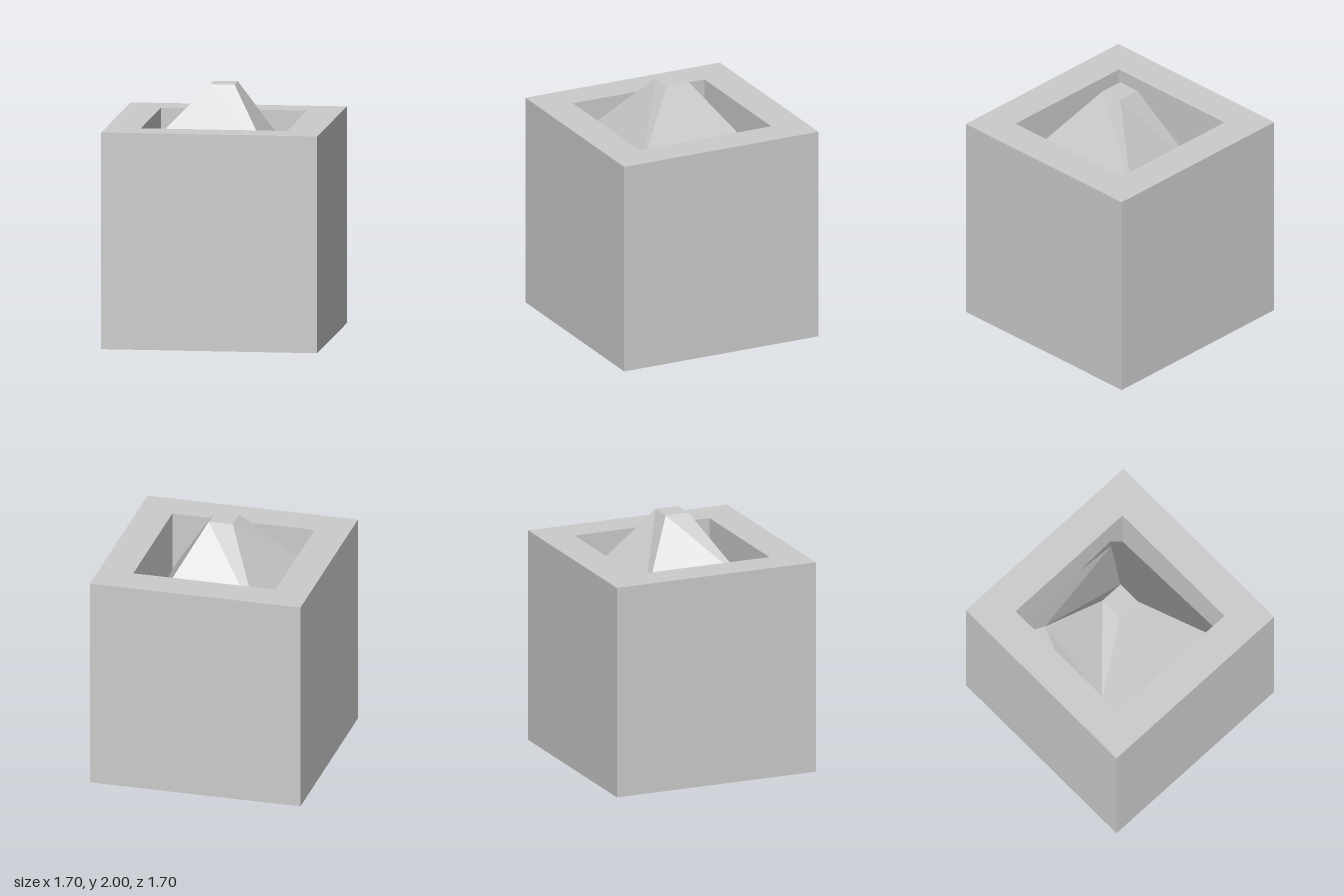
import * as THREE from 'three';

const grey = new THREE.MeshStandardMaterial({ color: 0xcccccc, flatShading: true });
grey.name = 'light grey';

// Flat-sided solid lofted downwards through four-cornered rings
// (corner order: back right-hand, front right-hand, front left-hand, back left-hand)
function loft(rings) {
  const points = [];
  const add = (...corners) => corners.forEach((p) => points.push(...p));
  const cap = rings[0];
  add(cap[0], cap[1], cap[2], cap[0], cap[2], cap[3]);
  for (let r = 0; r < rings.length - 1; r++) {
    for (let i = 0; i < 4; i++) {
      const j = (i + 1) % 4;
      const a = rings[r][i], b = rings[r][j];
      const c = rings[r + 1][j], d = rings[r + 1][i];
      add(a, d, c, a, c, b);
    }
  }
  const geometry = new THREE.BufferGeometry();
  geometry.setAttribute('position', new THREE.Float32BufferAttribute(points, 3));
  geometry.computeVertexNormals();
  return geometry;
}

function square(path, half) {
  path.moveTo(-half, -half);
  path.lineTo(half, -half);
  path.lineTo(half, half);
  path.lineTo(-half, half);
  path.closePath();
  return path;
}

export function createModel() {
  const model = new THREE.Group();
  const add = (name, geometry) => {
    const mesh = new THREE.Mesh(geometry, grey);
    mesh.name = name;
    model.add(mesh);
    return mesh;
  };

  const half = 0.852, top = 1.71, floor = 0.6;

  // Solid lower block
  add('lowerBlock', new THREE.BoxGeometry(half * 2, floor, half * 2)).position.y = floor / 2;

  // Upper block with a square well
  const outline = square(new THREE.Shape(), half);
  outline.holes.push(square(new THREE.Path(), 0.577));
  const frame = new THREE.ExtrudeGeometry(outline, { depth: top - floor, bevelEnabled: false });
  frame.rotateX(-Math.PI / 2);
  add('upperFrame', frame).position.y = floor;

  // Uneven peak rising from the well, its foot buried in the walls
  const t = 0.097;
  add('peak', loft([
    [[-t, 2, -t], [-t, 2, t], [t, 2, t], [t, 2, -t]],
    [[-0.4, 1.32, -0.43], [-0.56, 1.53, 0.38], [0.41, 1.5, 0.47], [0.4, 1.46, -0.52]],
    [[-0.7, 0.92, -0.74], [-0.8, 1.17, 0.62], [0.71, 1.02, 0.79], [0.6, 1.06, -0.76]],
  ]));

  return model;
}
